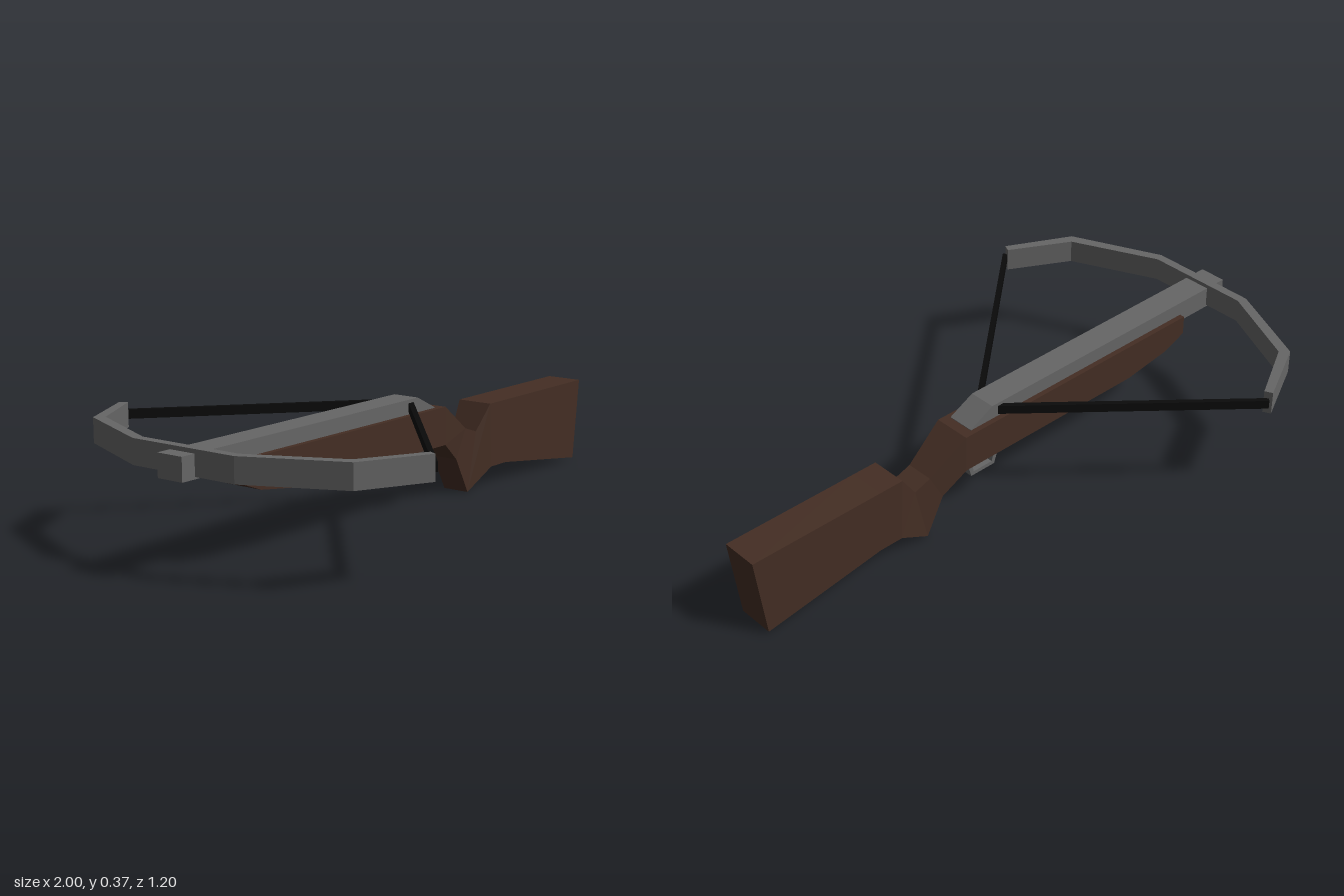
import * as THREE from 'three';

const mat = (color) => new THREE.MeshStandardMaterial({ color, flatShading: true });
const wood = mat(0x442e24), metal = mat(0x666666), cord = mat(0x0a0a0a);

function add(group, name, geometry, material) {
  const mesh = new THREE.Mesh(geometry, material);
  mesh.name = name;
  group.add(mesh);
  return mesh;
}

const outline = (pts) => new THREE.Shape(pts.map(([x, y]) => new THREE.Vector2(x, y)));

// Side profile (x, y), extruded across z and centred
function sideSlab(pts, width) {
  return new THREE.ExtrudeGeometry(outline(pts), { depth: width, bevelEnabled: false })
    .translate(0, 0, -width / 2);
}

// Plan profile (x, -z), extruded upward between two heights
function planSlab(pts, y0, y1) {
  return new THREE.ExtrudeGeometry(outline(pts), { depth: y1 - y0, bevelEnabled: false })
    .rotateX(-Math.PI / 2).translate(0, y0, 0);
}

// Four-cornered sections: [top x, top y, bottom x, bottom y, half width]
function loft(sections) {
  const rings = sections.map(([tx, ty, bx, by, w]) =>
    [[tx, ty, w], [tx, ty, -w], [bx, by, -w], [bx, by, w]]);
  const pos = [];
  const quad = (a, b, c, d) => pos.push(...a, ...b, ...c, ...a, ...c, ...d);
  for (let i = 0; i < rings.length - 1; i++) {
    const a = rings[i], b = rings[i + 1];
    for (let k = 0; k < 4; k++) quad(a[k], b[k], b[(k + 1) % 4], a[(k + 1) % 4]);
  }
  quad(...rings[0]);
  quad(...rings[rings.length - 1].slice().reverse());
  const g = new THREE.BufferGeometry();
  g.setAttribute('position', new THREE.Float32BufferAttribute(pos, 3));
  g.computeVertexNormals();
  return g;
}

export function createModel() {
  const group = new THREE.Group();
  group.name = 'crossbow';

  // Wooden stock: fore-end, pinched grip, butt
  add(group, 'stock', loft([
    [-0.79, 0.315, -0.79, 0.25, 0.064],
    [-0.70, 0.315, -0.70, 0.215, 0.064],
    [-0.53, 0.315, -0.53, 0.19, 0.064],
    [0.19, 0.315, 0.19, 0.19, 0.064],
    [0.325, 0.22, 0.275, 0.125, 0.047],
    [0.385, 0.2, 0.34, 0.003, 0.047],
    [0.445, 0.285, 0.455, 0.07, 0.062],
    [0.53, 0.285, 0.54, 0.07, 0.062],
    [1, 0.285, 0.967, 0.01, 0.062],
  ]), wood);

  // Rail with sloped rear end
  add(group, 'rail', sideSlab(
    [[-1, 0.29], [0.155, 0.29], [0.155, 0.317], [0.065, 0.362], [-1, 0.362]], 0.092), metal);

  // Bow limbs in one bent bar
  const outer = [[-0.6, 0.6], [-0.815, 0.49], [-0.95, 0.19]];
  const inner = [[-0.92, 0.18], [-0.788, 0.465], [-0.588, 0.575]];
  const mirrored = (pts) => pts.map(([x, y]) => [x, -y]).reverse();
  add(group, 'bow',
    planSlab([...outer, ...mirrored(outer), ...mirrored(inner), ...inner], 0.297, 0.375), metal);

  // Drawn string, one half per side
  for (const s of [1, -1]) {
    const half = [[-0.597, 0.587], [0.03, 0.035], [0.042, 0.047], [-0.587, 0.599]];
    add(group, s > 0 ? 'stringRight' : 'stringLeft',
      planSlab(s > 0 ? half : mirrored(half), 0.322, 0.351), cord);
  }

  // Trigger guard and trigger below the fore-end
  add(group, 'triggerGuard', sideSlab(
    [[0.01, 0.195], [0.036, 0.115], [0.134, 0.115], [0.156, 0.195],
      [0.141, 0.195], [0.123, 0.128], [0.047, 0.128], [0.025, 0.195]], 0.046), metal);
  add(group, 'trigger', sideSlab(
    [[0.112, 0.195], [0.108, 0.155], [0.095, 0.143], [0.108, 0.14], [0.119, 0.152], [0.127, 0.195]],
    0.02), metal);

  return group;
}
